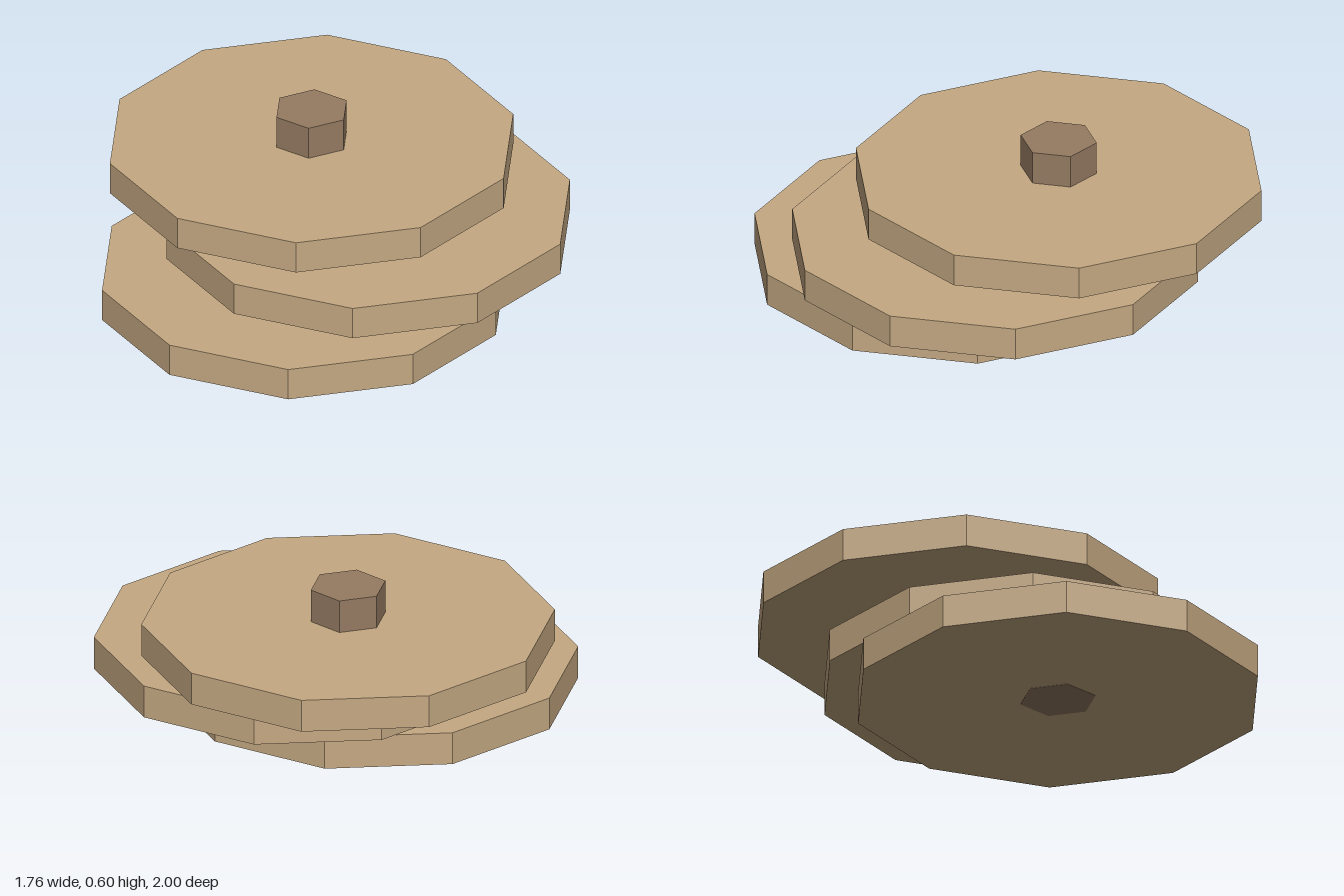
import * as THREE from 'three';

export function createModel() {
  const model = new THREE.Group();
  model.name = 'stackedDiscs';

  const discMaterial = new THREE.MeshStandardMaterial({ color: 0xc4a882, flatShading: true });
  discMaterial.name = 'light tan';
  const hubMaterial = new THREE.MeshStandardMaterial({ color: 0x957b62, flatShading: true });
  hubMaterial.name = 'brown';

  // Upright prism standing on its base height, with a corner facing the front
  function prism(name, radius, height, sides, base, material) {
    const mesh = new THREE.Mesh(new THREE.CylinderGeometry(radius, radius, height, sides), material);
    mesh.name = name;
    mesh.position.y = base + height / 2;
    return mesh;
  }

  // Each layer: a ten-sided disc with a six-sided hub running through its centre
  const layers = [
    ['bottom', -0.117, 0, 0.2],
    ['middle', 0.117, 0.1667, 0],
    ['top', -0.117, 0.3333, -0.2],
  ];
  for (const [name, x, y, z] of layers) {
    const layer = new THREE.Group();
    layer.name = name + 'Layer';
    layer.position.set(x, y, z);
    // The disc sits a hair above the hub's base so the hub end shows underneath
    layer.add(prism(name + 'Disc', 0.8, 0.1323, 10, 0.001, discMaterial));
    layer.add(prism(name + 'Hub', 0.15, 0.2667, 6, 0, hubMaterial));
    model.add(layer);
  }
  return model;
}
